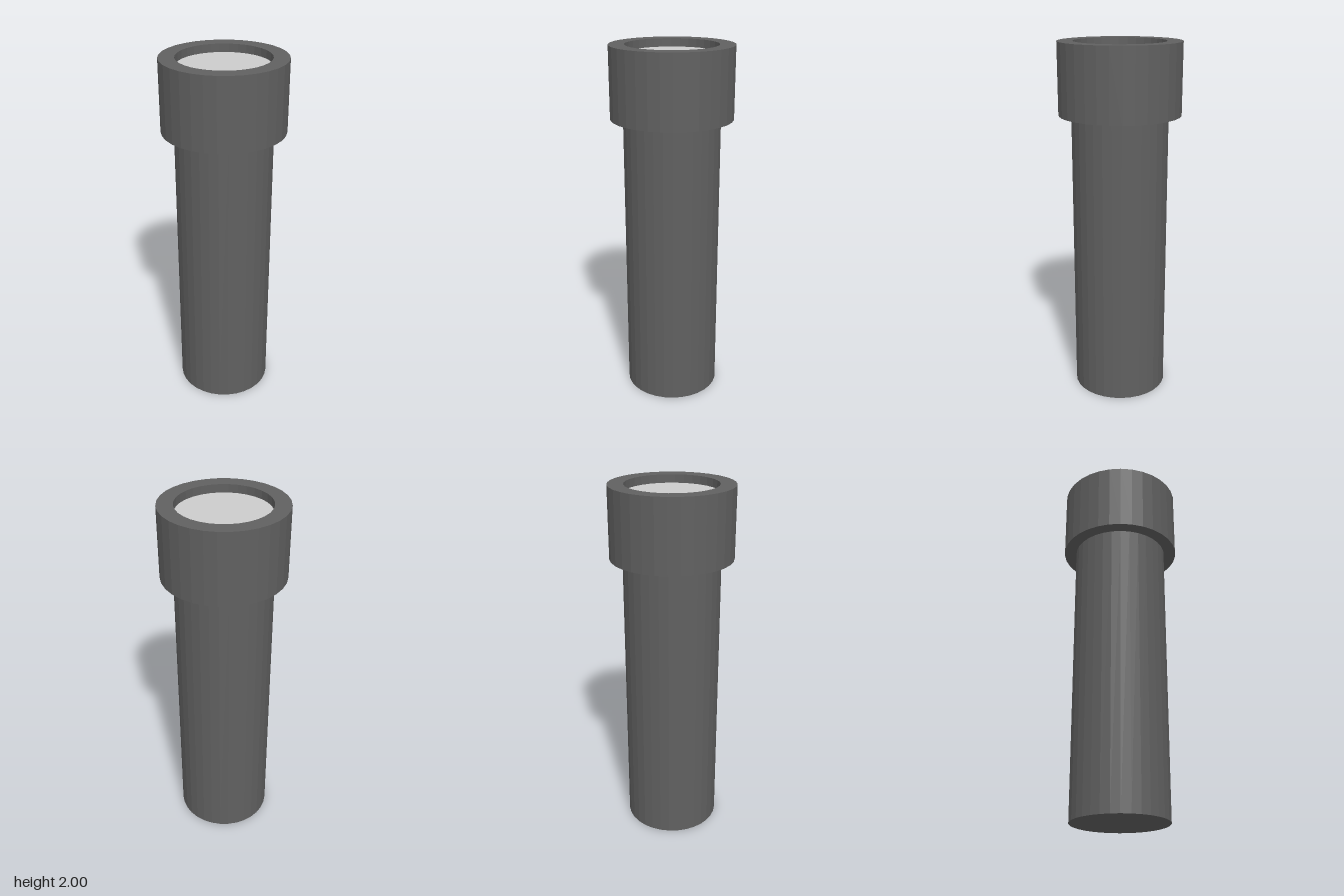
import * as THREE from 'three';

const SIDES = 32;

export function createModel() {
  const group = new THREE.Group();
  const dark = new THREE.MeshStandardMaterial({ color: 0x606060, flatShading: true });
  const pale = new THREE.MeshStandardMaterial({ color: 0xcccccc, flatShading: true });

  const add = (name, geometry, material, y = 0) => {
    const mesh = new THREE.Mesh(geometry, material);
    mesh.name = name;
    mesh.position.y = y;
    group.add(mesh);
  };

  // Straight handle, reaching slightly into the head
  const handleHeight = 1.63;
  add('handle', new THREE.CylinderGeometry(0.265, 0.265, handleHeight, SIDES), dark, handleHeight / 2);

  // Wider head: underside, outer wall, rim and the recess down to the lens
  const headProfile = [
    [0.25, 1.61], [0.335, 1.61], [0.335, 2], [0.25, 2], [0.25, 1.94],
  ].map(([r, y]) => new THREE.Vector2(r, y));
  add('head', new THREE.LatheGeometry(headProfile, SIDES), dark);

  // Flat lens set just below the rim
  add('lens', new THREE.CircleGeometry(0.25, SIDES).rotateX(-Math.PI / 2), pale, 1.955);

  return group;
}
